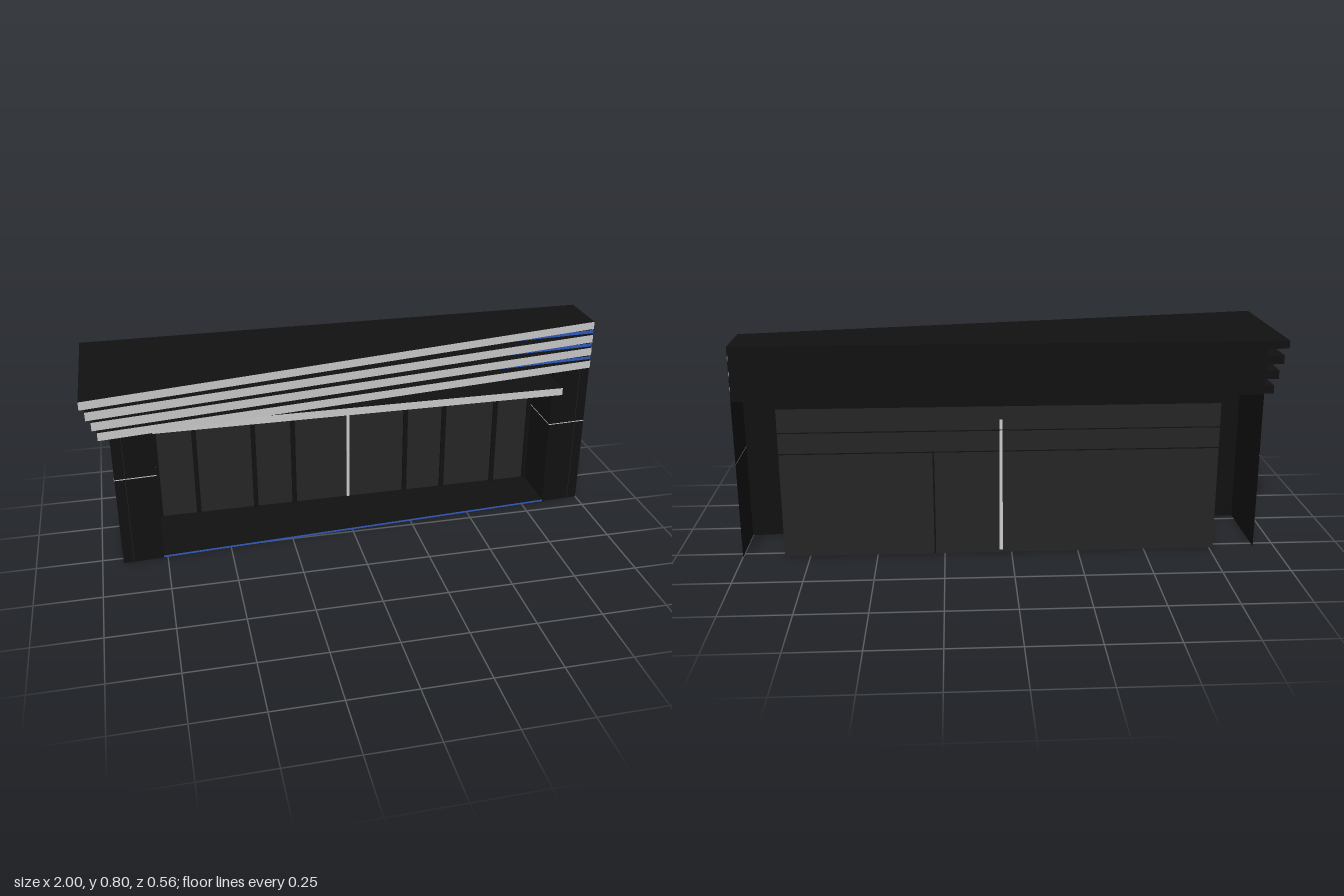
import * as THREE from 'three';

const mat = (color) => new THREE.MeshStandardMaterial({ color, side: THREE.DoubleSide, flatShading: true });
const GREY = mat(0xcccccc), BLACK = mat(0x111111), PANE = mat(0x252525), BLUE = mat(0x2f5bc0);

const BACK = -0.28;
const LEFT = -0.92, RIGHT = 1;          // outer faces of the piers
const INNER_L = -0.765, INNER_R = 0.845; // inner faces of the piers
// slanted front line of the building at a given x
const frontZ = (x) => -0.073 + (RIGHT - x) * 0.0568;

export function createModel() {
  const model = new THREE.Group();

  const add = (parent, name, geometry, material) => {
    const mesh = new THREE.Mesh(geometry, material);
    mesh.name = name;
    parent.add(mesh);
    return mesh;
  };

  const group = (name) => {
    const g = new THREE.Group();
    g.name = name;
    model.add(g);
    return g;
  };

  // vertical ribbon along plan points [x, z]
  const ribbon = (parent, name, plan, y0, y1, material) => {
    const pos = [];
    for (let i = 0; i + 1 < plan.length; i++) {
      const [ax, az] = plan[i], [bx, bz] = plan[i + 1];
      pos.push(ax, y0, az, bx, y0, bz, bx, y1, bz, ax, y0, az, bx, y1, bz, ax, y1, az);
    }
    const g = new THREE.BufferGeometry();
    g.setAttribute('position', new THREE.Float32BufferAttribute(pos, 3));
    g.computeVertexNormals();
    return add(parent, name, g, material);
  };

  // horizontal face filling plan points [x, z]
  const cap = (parent, name, plan, y, material) => {
    const shape = new THREE.Shape(plan.map(([x, z]) => new THREE.Vector2(x, -z)));
    const g = new THREE.ShapeGeometry(shape).rotateX(-Math.PI / 2).translate(0, y, 0);
    return add(parent, name, g, material);
  };

  const box = (parent, name, x0, x1, y0, y1, z0, z1, material) =>
    add(parent, name, new THREE.BoxGeometry(x1 - x0, y1 - y0, z1 - z0)
      .translate((x0 + x1) / 2, (y0 + y1) / 2, (z0 + z1) / 2), material);

  // Canopy: four stacked slabs fanning out toward -x
  const canopy = group('canopy');
  const slabs = [
    [0.603, 0.634, -0.955, 0.18],
    [0.658, 0.690, -0.970, 0.212],
    [0.713, 0.745, -0.985, 0.245],
    [0.770, 0.800, -1.000, 0.28],
  ];
  for (const [y0, y1, x, z] of slabs) {
    const plan = [[RIGHT, BACK], [RIGHT, -0.068], [x, z], [x, BACK]];
    ribbon(canopy, 'slabEdge', plan, y0, y1, GREY);
    ribbon(canopy, 'slabBack', [plan[3], plan[0]], y0, y1, BLACK);
    cap(canopy, 'slabTop', plan, y1, BLACK);
    cap(canopy, 'slabUnderside', plan, y0, BLACK);
  }

  // Recessed core between the slabs
  ribbon(canopy, 'canopyCore', [
    [RIGHT - 0.003, BACK], [RIGHT - 0.003, frontZ(RIGHT) - 0.003],
    [LEFT, frontZ(LEFT)], [LEFT, BACK], [RIGHT - 0.003, BACK],
  ], 0.6, 0.77, BLACK);

  // Light strips in the recesses: blue in front, grey round the end
  for (const [y0, y1, x] of [[0.639, 0.651, 0.36], [0.694, 0.707, 0.04], [0.75, 0.764, -0.44]]) {
    ribbon(canopy, 'blueStrip', [[RIGHT, frontZ(RIGHT)], [x, frontZ(x) + 0.002]], y0, y1, BLUE);
    ribbon(canopy, 'endStrip', [[RIGHT, frontZ(RIGHT)], [RIGHT, BACK]], y0, y1, GREY);
  }

  // Piers: outer, front and inner walls, open at the back
  for (const [side, outer, inner] of [['right', LEFT, INNER_L], ['left', RIGHT, INNER_R]]) {
    const pier = group(side + 'Pier');
    const s = Math.sign(outer), e = 0.0015;
    ribbon(pier, 'pierWalls', [
      [outer, BACK], [outer, frontZ(outer)], [inner, frontZ(inner)], [inner, BACK],
    ], 0, 0.603, BLACK);
    // thin reveal line running round the pier
    ribbon(pier, 'pierJoint', [
      [outer + (s > 0 ? 0 : -e), BACK], [outer + (s > 0 ? 0 : -e), frontZ(outer) + e],
      [inner - s * e, frontZ(inner) + e], [inner - s * e, BACK],
    ], 0.363, 0.367, GREY);
    const jx = outer - s * 0.04;
    ribbon(pier, 'pierUprightJoint', [
      [jx - 0.001, frontZ(jx) + e], [jx + 0.001, frontZ(jx) + e],
    ], 0, 0.603, PANE);
  }

  // Floor with a blue front edge
  const floor = group('floor');
  const floorPlan = [
    [INNER_L, BACK], [INNER_L, frontZ(INNER_L)], [INNER_R, frontZ(INNER_R)], [INNER_R, BACK],
  ];
  cap(floor, 'floorTop', floorPlan, 0.008, BLACK);
  cap(floor, 'floorUnderside', floorPlan, 0.001, BLACK);
  ribbon(floor, 'floorEdge', [floorPlan[1], floorPlan[2]], 0, 0.008, BLUE);

  // Flat soffit over the opening, with a grey front edge
  const soffit = group('soffit');
  box(soffit, 'soffitPanel', INNER_L, INNER_R, 0.54, 0.57, BACK + 0.002, 0.03, BLACK);
  ribbon(soffit, 'soffitEdge', [[INNER_L, 0.032], [INNER_R, 0.032]], 0.54, 0.57, GREY);
  ribbon(soffit, 'header', [[INNER_L, BACK], [INNER_R, BACK]], 0.57, 0.603, BLACK);

  // Glazed rear wall
  const glazing = group('glazing');
  ribbon(glazing, 'panes', [[INNER_L, BACK], [INNER_R, BACK]], 0, 0.57, PANE);
  box(glazing, 'transomLight', -0.75, 0.83, 0.445, 0.477, BACK + 0.001, BACK + 0.004, GREY);
  box(glazing, 'blueRail', -0.75, 0.83, 0.424, 0.432, BACK + 0.001, BACK + 0.008, BLUE);
  for (const [y0, y1] of [[0.4, 0.424], [0.432, 0.44], [0.52, 0.54]])
    box(glazing, 'transom', INNER_L, INNER_R, y0, y1, BACK + 0.001, BACK + 0.007, BLACK);
  for (const x of [-0.6, -0.36, -0.195, 0.287, 0.455, 0.685])
    box(glazing, 'mullion', x - 0.009, x + 0.009, 0.008, 0.54, BACK + 0.001, BACK + 0.012, BLACK);
  for (const x of [INNER_L + 0.008, INNER_R - 0.008])
    box(glazing, 'jamb', x - 0.008, x + 0.008, 0.008, 0.54, BACK + 0.001, BACK + 0.012, BLACK);
  box(glazing, 'doorPost', 0.033, 0.045, 0.01, 0.52, BACK - 0.001, BACK + 0.006, GREY);
  // fine lines on the rear side
  box(glazing, 'rearJoint', 0.283, 0.289, 0, 0.4, BACK - 0.001, BACK, BLACK);
  for (const y of [0.4, 0.48])
    box(glazing, 'rearRail', INNER_L, INNER_R, y - 0.002, y + 0.002, BACK - 0.001, BACK, BLACK);

  return model;
}
